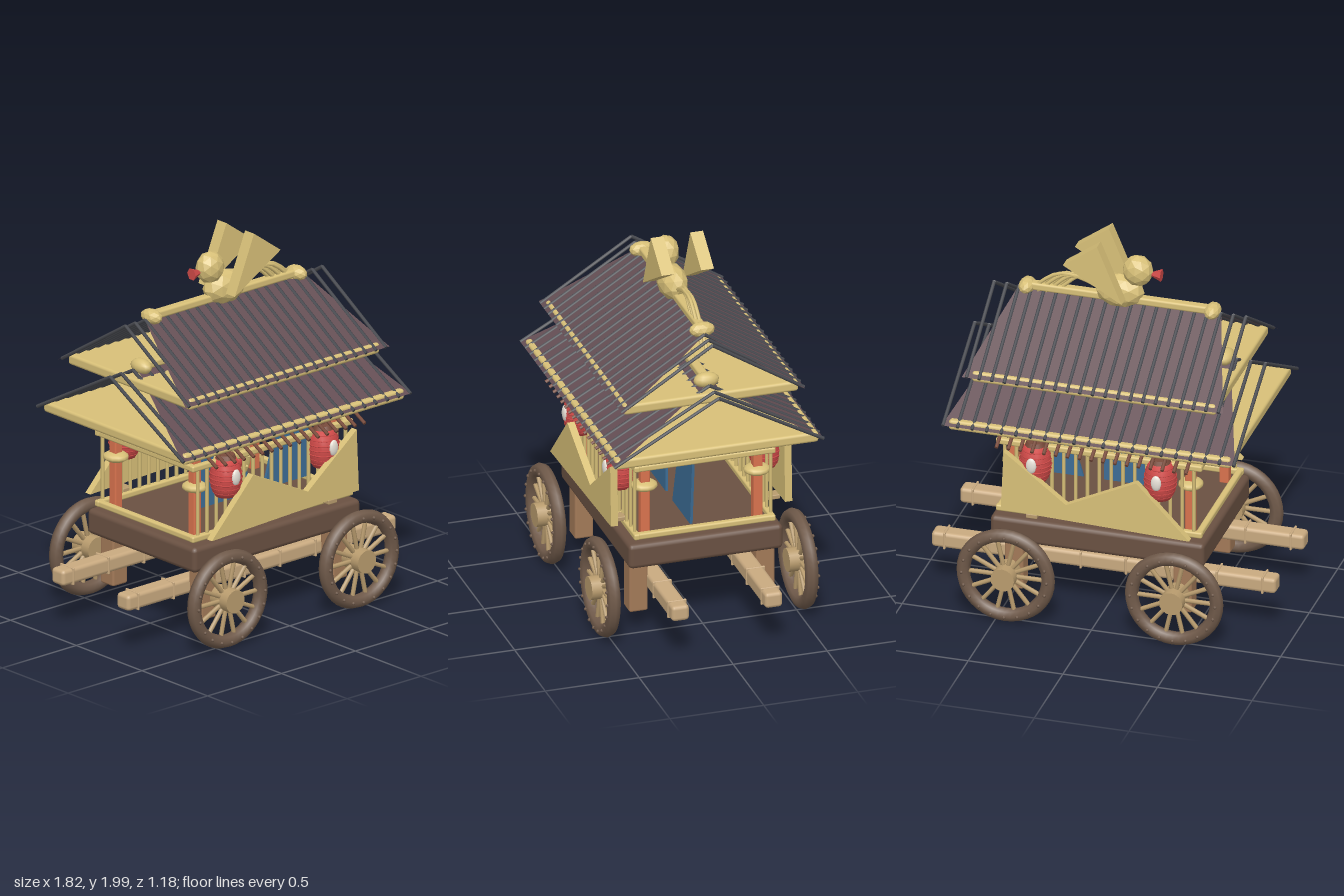
import * as THREE from 'three';
import { RoundedBoxGeometry } from 'three/addons/geometries/RoundedBoxGeometry.js';

const C = { gold: 0xd8c078, brown: 0x6a5142, rim: 0x705a4a, spoke: 0xb99c6e, pole: 0xc9aa80, leg: 0xa37a58,
  red: 0xd04a48, orange: 0xd9734e, blue: 0x3d6d96, white: 0xe8e2d8, roof: 0x644e54, rib: 0x484a50, rafter: 0x7a4c3c };
const V = (x, y, z) => new THREE.Vector3(x, y, z);
const SIDES = [-1, 1];

function add(parent, name, geo, color, x = 0, y = 0, z = 0, opts = {}) {
  const m = new THREE.Mesh(geo, new THREE.MeshStandardMaterial({ color, ...opts }));
  m.name = name;
  m.position.set(x, y, z);
  parent.add(m);
  return m;
}
function group(parent, name) {
  const g = new THREE.Group();
  g.name = name;
  parent.add(g);
  return g;
}
const rbox = (w, h, d, r) => new RoundedBoxGeometry(w, h, d, 2, r);

// Round bar between two points
function rod(parent, name, a, b, r, color, seg = 8) {
  const m = add(parent, name, new THREE.CylinderGeometry(r, r, a.distanceTo(b), seg), color);
  m.position.copy(a).add(b).multiplyScalar(0.5);
  m.quaternion.setFromUnitVectors(V(0, 1, 0), b.clone().sub(a).normalize());
  return m;
}

// Flat outline in x-y, thickened along z about its centre
function plate(points, depth) {
  const s = new THREE.Shape(points.map(p => new THREE.Vector2(...p)));
  return new THREE.ExtrudeGeometry(s, { depth, bevelEnabled: false }).translate(0, 0, -depth / 2);
}

function wheel(parent, x, side) {
  const g = group(parent, 'wheel');
  g.position.set(x, 0.267, side * 0.526);
  const rim = add(g, 'rim', new THREE.TorusGeometry(0.224, 0.036, 8, 40), C.rim);
  const hub = add(g, 'hub', new THREE.CylinderGeometry(0.062, 0.062, 0.125, 16), C.spoke);
  hub.rotation.x = Math.PI / 2;
  for (let i = 0; i < 14; i++) {
    const a = i * Math.PI / 7, c = Math.cos(a), s = Math.sin(a);
    rod(g, 'spoke', V(c * 0.05, s * 0.05, 0), V(c * 0.205, s * 0.205, 0), 0.012, C.spoke, 6);
  }
  for (let i = 0; i < 20; i++) {
    const a = i * Math.PI / 10;
    add(g, 'rimStud', new THREE.SphereGeometry(0.009, 6, 5), C.rim, Math.cos(a) * 0.225, Math.sin(a) * 0.225, side * 0.036);
  }
}

// Two sloping panels, ribs, eave slab and ridge
function roof(parent, name, { ridgeY, ridgeX, eaveY, eaveX, eaveZ, ribX, slab }) {
  const g = group(parent, name);
  for (const s of SIDES) {
    const geo = new THREE.BufferGeometry();
    geo.setAttribute('position', new THREE.Float32BufferAttribute([
      -eaveX, eaveY, s * eaveZ, eaveX, eaveY, s * eaveZ, ridgeX, ridgeY, 0, -ridgeX, ridgeY, 0], 3));
    geo.setIndex(s > 0 ? [0, 1, 2, 0, 2, 3] : [0, 2, 1, 0, 3, 2]);
    geo.computeVertexNormals();
    add(g, 'roofSlope', geo, C.roof, 0, 0, 0, { side: THREE.DoubleSide });
    for (let i = 0; i < 21; i++) {
      const x = ribX * (i / 10 - 1);
      rod(g, 'roofRib', V(x, eaveY, s * eaveZ), V(x, ridgeY, 0), 0.0095, C.rib, 6);
    }
  }
  const [w, h, d, y] = slab;
  add(g, 'eaveSlab', rbox(w, h, d, 0.015), C.gold, 0, y, 0);
  return g;
}

function lantern(parent, x, side) {
  const g = group(parent, 'lantern');
  g.position.set(x, 0.86, side * 0.385);
  const outline = [[0.001, -0.1], [0.055, -0.1], [0.076, -0.06], [0.084, 0], [0.076, 0.06], [0.055, 0.1], [0.001, 0.1]];
  add(g, 'lanternBody', new THREE.LatheGeometry(outline.map(p => new THREE.Vector2(...p)), 16), C.red);
  for (let i = -3; i <= 3; i++) {
    const r = 0.083 - 0.002 * i * i;
    const ring = add(g, 'lanternRing', new THREE.TorusGeometry(r, 0.004, 5, 18), C.red, 0, i * 0.026, 0);
    ring.rotation.x = Math.PI / 2;
  }
  add(g, 'lanternCap', new THREE.CylinderGeometry(0.045, 0.055, 0.025, 12), C.rafter, 0, 0.11, 0);
  rod(g, 'lanternCord', V(0, 0.11, 0), V(0, 0.22, 0), 0.006, C.rafter, 6);
  add(g, 'lanternMark', new THREE.SphereGeometry(1, 12, 8), C.white, 0, 0.015, side * 0.078).scale.set(0.028, 0.043, 0.014);
}

function bird(parent) {
  const g = group(parent, 'roofBird');
  const ball = () => new THREE.IcosahedronGeometry(1, 1);
  add(g, 'body', ball(), C.gold, 0, 1.7, 0, { flatShading: true }).scale.set(0.13, 0.092, 0.076);
  add(g, 'head', ball(), C.gold, -0.095, 1.825, 0, { flatShading: true }).scale.set(0.08, 0.085, 0.066);
  const beak = add(g, 'beak', new THREE.ConeGeometry(0.033, 0.08, 6), C.red, -0.18, 1.815, 0, { flatShading: true });
  beak.rotation.z = -Math.PI / 2;
  for (const s of SIDES)
    add(g, 'wing', plate([[-0.05, 1.69], [0.26, 1.87], [0.08, 2]], 0.068), C.gold, 0, 0, s * 0.105);
  // Arched tail feathers fanning out in length
  for (let i = 0; i < 7; i++) {
    const t = i / 6;
    const path = new THREE.CatmullRomCurve3([V(0.08, 1.69, 0), V(0.15 + 0.06 * t, 1.73 + 0.012 * t, 0),
      V(0.21 + 0.12 * t, 1.75 - 0.005 * t, 0), V(0.3 + 0.26 * t, 1.68 - 0.13 * t, 0)]);
    add(g, 'tailFeather', new THREE.TubeGeometry(path, 12, 0.01, 6), C.gold, 0, 0, (i % 2 - 0.5) * 0.014);
  }
}

export function createModel() {
  const model = new THREE.Group();
  model.name = 'festivalCart';

  // Undercarriage
  const base = group(model, 'undercarriage');
  add(base, 'platform', rbox(1.13, 0.135, 0.82, 0.025), C.brown, 0, 0.462, 0);
  for (const s of SIDES) {
    add(base, 'carryingPole', rbox(1.82, 0.085, 0.094, 0.02), C.pole, 0, 0.285, s * 0.248);
    for (const x of [-0.84, -0.6, -0.36, -0.12, 0.12, 0.36, 0.6, 0.84])
      add(base, 'poleBand', rbox(0.012, 0.094, 0.102, 0.005), C.pole, x, 0.285, s * 0.248);
    for (const x of [-0.445, 0.445]) {
      add(base, 'axleBlock', rbox(0.1, 0.29, 0.1, 0.012), C.leg, x, 0.265, s * 0.337);
      wheel(base, x, s);
    }
  }

  // Cabin frame
  const cabin = group(model, 'cabin');
  for (const y of [0.562, 0.942]) for (const s of SIDES) {
    add(cabin, 'sideRail', rbox(1.09, 0.034, 0.034, 0.01), C.gold, 0, y, s * 0.36);
    add(cabin, 'endRail', rbox(0.034, 0.034, 0.75, 0.01), C.gold, s * 0.525, y, 0);
  }
  for (const s of SIDES) {
    for (let i = 0; i < 17; i++) {
      const x = -0.5 + i / 16;
      rod(cabin, 'baluster', V(x, 0.56, s * 0.362), V(x, 0.94, s * 0.362), 0.0095, C.gold, 6);
      rod(cabin, 'eaveRafter', V(x, 1.06, s * 0.36), V(x, 0.978, s * 0.51), 0.0095, C.rafter, 6);
    }
    for (const x of [-0.465, 0.465]) {
      add(cabin, 'cornerPost', rbox(0.05, 0.55, 0.05, 0.008), C.orange, x, 0.8, s * 0.3);
      for (const y of [0.815, 1.0])
        add(cabin, 'postCollar', new THREE.SphereGeometry(1, 12, 8), C.gold, x, y, s * 0.3).scale.set(0.065, 0.028, 0.07);
    }
    for (const x of [-0.33, 0.33]) {
      lantern(cabin, x, s);
      add(cabin, 'boardBracket', rbox(0.06, 0.025, 0.1, 0.005), C.spoke, x, 0.585, s * 0.41);
    }
    // Peaked side board
    add(cabin, 'sideBoard', plate([[-0.51, 0.58], [0.485, 0.615], [0.47, 0.945], [0.14, 0.69], [-0.23, 0.87]], 0.038),
      C.gold, 0, 0, s * 0.463);
  }

  // Curtains and gong inside
  add(cabin, 'curtain', plate([[-0.22, 0.575], [0.1, 0.575], [0.1, 1.065], [-0.2, 1.065]], 0.014), C.blue, 0, 0, 0.06);
  add(cabin, 'curtain', plate([[0.21, 0.575], [0.5, 0.575], [0.545, 1.045], [0.35, 1.065]], 0.014), C.blue, 0, 0, 0.06);
  const gong = group(cabin, 'gong');
  gong.position.set(-0.02, 0.79, 0.082);
  add(gong, 'gongDisc', new THREE.SphereGeometry(1, 20, 10), C.gold).scale.set(0.13, 0.13, 0.024);
  add(gong, 'gongBoss', new THREE.SphereGeometry(0.038, 12, 8), C.red, 0, 0, 0.028);
  for (let i = 0; i < 12; i++) {
    const a = i * Math.PI / 6;
    add(gong, 'gongStud', new THREE.SphereGeometry(0.009, 6, 5), C.gold, Math.cos(a) * 0.1, Math.sin(a) * 0.1, 0.017);
  }

  // Double roof
  const lower = roof(model, 'lowerRoof', { ridgeY: 1.395, ridgeX: 0.585, eaveY: 1.087, eaveX: 0.775, eaveZ: 0.557,
    ribX: 0.768, slab: [1.49, 0.055, 1.08, 1.085] });
  const upper = roof(model, 'upperRoof', { ridgeY: 1.645, ridgeX: 0.535, eaveY: 1.34, eaveX: 0.69, eaveZ: 0.485,
    ribX: 0.665, slab: [1.29, 0.056, 0.93, 1.337] });
  add(lower, 'ridgeBeam', rbox(1.13, 0.04, 0.05, 0.012), C.gold, 0, 1.405, 0);
  add(upper, 'ridgeBeam', rbox(1.05, 0.042, 0.05, 0.012), C.gold, 0, 1.66, 0);
  for (const s of SIDES) {
    add(lower, 'ridgeEnd', new THREE.SphereGeometry(1, 12, 8), C.gold, s * 0.56, 1.405, 0).scale.set(0.042, 0.04, 0.068);
    add(upper, 'ridgeEnd', new THREE.IcosahedronGeometry(1, 1), C.gold, s * 0.49, 1.655, 0, { flatShading: true })
      .scale.set(0.043, 0.04, 0.068);
  }
  bird(model);
  return model;
}
